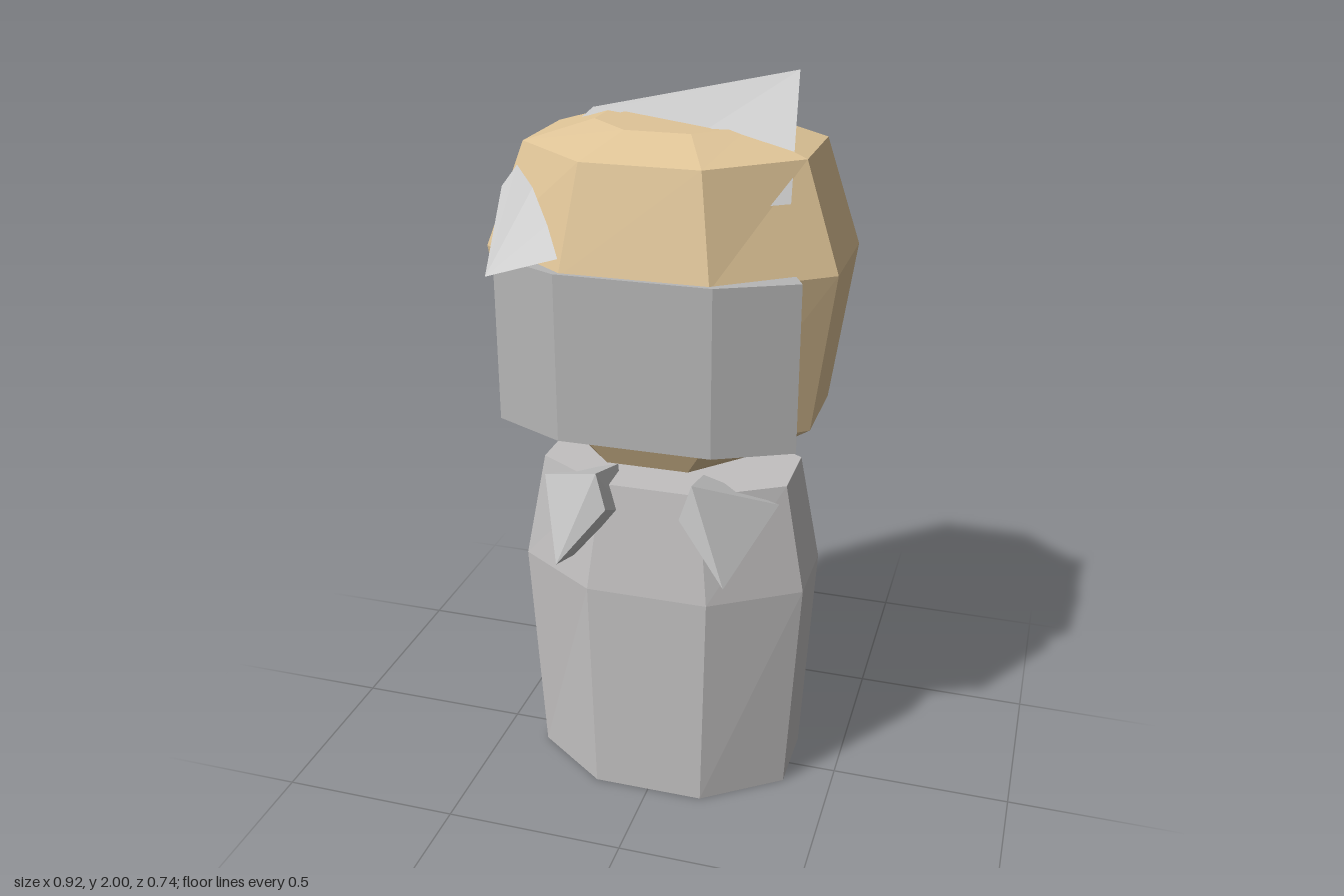
import * as THREE from 'three';
import { ConvexGeometry } from 'three/addons/geometries/ConvexGeometry.js';

const mat = (name, color, extra = {}) => {
  const m = new THREE.MeshStandardMaterial({ color, flatShading: true, ...extra });
  m.name = name;
  return m;
};

// Flat-faced geometry from a list of corner points, three per face
function facets(points) {
  const g = new THREE.BufferGeometry();
  g.setAttribute('position', new THREE.Float32BufferAttribute(points.flat(), 3));
  g.computeVertexNormals();
  return g;
}

// Octagonal ring, counterclockwise from above
const octagon = (y, inner, outer, back, sideBack, sideFront, front) => [
  [-inner, y, front], [inner, y, front], [outer, y, sideFront], [outer, y, sideBack],
  [inner, y, back], [-inner, y, back], [-outer, y, sideBack], [-outer, y, sideFront],
];

// Closed solid through rings listed from bottom to top
function loft(rings) {
  const out = [];
  const n = rings[0].length;
  for (let r = 0; r + 1 < rings.length; r++) {
    const lo = rings[r], up = rings[r + 1];
    for (let i = 0; i < n; i++) {
      const j = (i + 1) % n;
      out.push(lo[i], lo[j], up[j], lo[i], up[j], up[i]);
    }
  }
  const bottom = rings[0], top = rings[rings.length - 1];
  for (let i = 1; i + 1 < n; i++) {
    out.push(top[0], top[i], top[i + 1], bottom[0], bottom[i + 1], bottom[i]);
  }
  return facets(out);
}

// Thin sheet fanned out from its first corner
function sheet(pts) {
  const out = [];
  for (let i = 1; i + 1 < pts.length; i++) out.push(pts[0], pts[i], pts[i + 1]);
  return facets(out);
}

export function createModel() {
  const group = new THREE.Group();
  const skin = mat('tan', 0xe0c598);
  const cloth = mat('body grey', 0xc2c0c0);
  const maskGrey = mat('mask grey', 0xb6b6b6);
  const pale = mat('pale grey', 0xc4c4c4, { side: THREE.DoubleSide });
  const add = (name, geometry, material) => {
    const mesh = new THREE.Mesh(geometry, material);
    mesh.name = name;
    group.add(mesh);
  };

  // Body
  add('body', loft([
    octagon(0, 0.155, 0.365, -0.275, -0.125, 0.085, 0.235),
    octagon(0.64, 0.168, 0.4, -0.28, -0.125, 0.09, 0.24),
    octagon(0.945, 0.135, 0.342, -0.25, -0.115, 0.075, 0.2),
  ]), cloth);

  // Head
  add('head', loft([
    octagon(1.02, 0.11, 0.25, -0.265, -0.125, 0.065, 0.22),
    octagon(1.12, 0.17, 0.4, -0.345, -0.155, 0.09, 0.27),
    octagon(1.55, 0.19, 0.46, -0.37, -0.17, 0.122, 0.325),
    octagon(1.82, 0.152, 0.365, -0.36, -0.18, 0.083, 0.265),
    octagon(1.87, 0.085, 0.2, -0.268, -0.155, 0.005, 0.117),
  ]), skin);

  // Face mask wrapped around the lower front of the head
  const half = [[0.2, 0.335], [0.395, 0.24], [0.37, 0.19], [0.24, 0.1]];
  const outline = [...half, ...half.map(([x, z]) => [-x, z]).reverse()];
  add('mask', loft([1.12, 1.56].map((y) => outline.map(([x, z]) => [x, y, z]))), maskGrey);

  // Collar flaps, mirrored
  for (const s of [-1, 1]) {
    const corners = [
      [0.13, 1.0, 0.255], [0.1, 0.905, 0.27], [0.085, 0.86, 0.17], [0.23, 0.74, 0.305],
      [0.22, 0.715, 0.2], [0.33, 0.905, 0.11], [0.12, 0.96, 0.1],
    ];
    add(s > 0 ? 'leftCollar' : 'rightCollar',
      new ConvexGeometry(corners.map(([x, y, z]) => new THREE.Vector3(s * x, y, z))), pale);
  }

  // Hair tuft on the crown
  add('hairTuft', sheet([
    [0.305, 2.0, -0.085], [-0.255, 1.868, -0.14], [-0.285, 1.835, -0.08],
    [-0.24, 1.865, -0.11], [-0.2, 1.872, -0.115], [0.11, 1.872, 0.045], [0.33, 1.82, 0.075],
  ]), pale);

  // Loose lock over the right brow and its small tip on the left
  add('hairLock', sheet([
    [-0.36, 1.55, 0.37], [-0.19, 1.595, 0.322], [-0.235, 1.66, 0.265],
    [-0.3, 1.73, 0.19], [-0.37, 1.765, 0.115], [-0.395, 1.72, 0.16],
  ]), pale);
  add('hairTip', sheet([[0.3, 1.728, 0.187], [0.345, 1.73, 0.165], [0.34, 1.785, 0.13]]), pale);

  return group;
}
